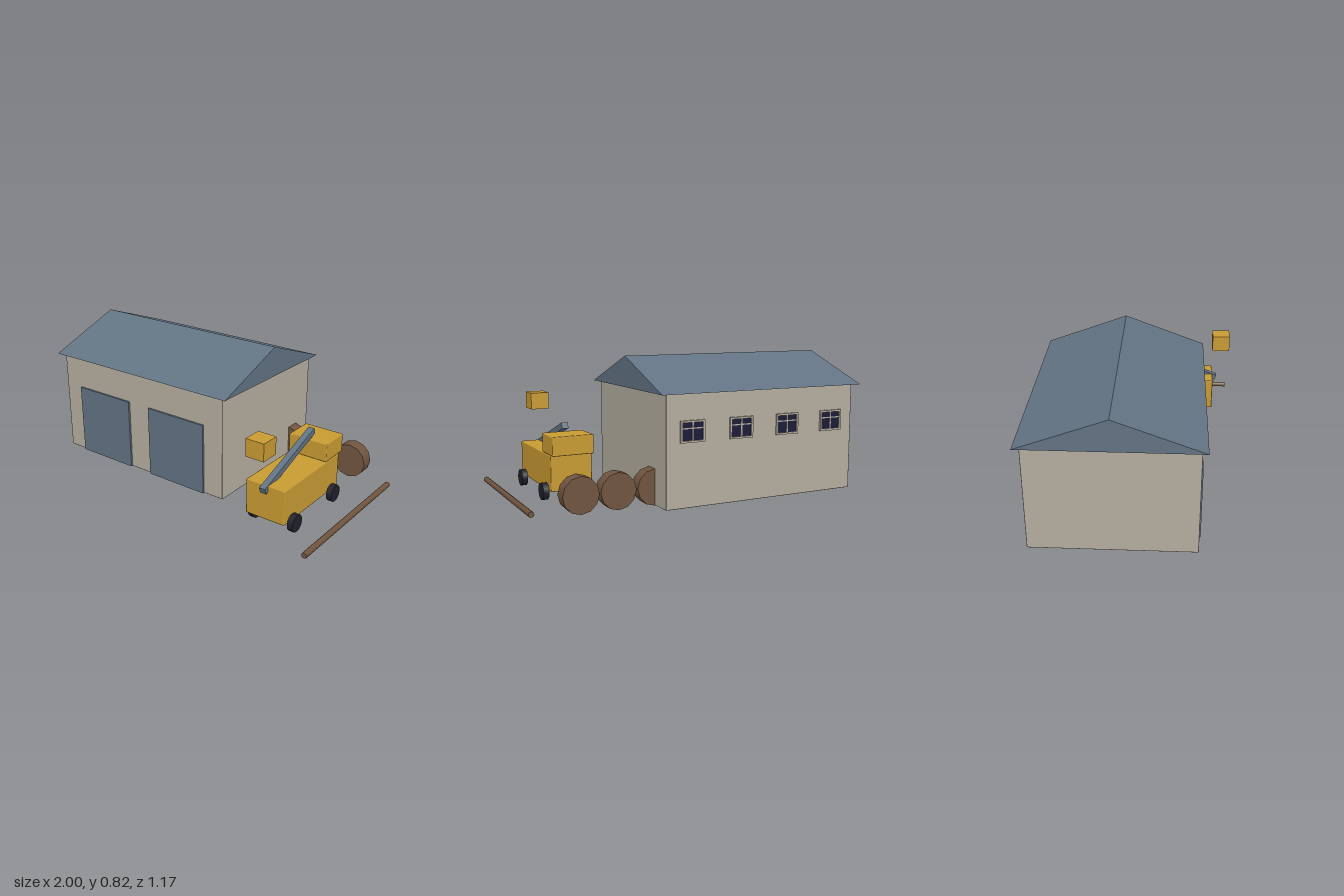
import * as THREE from 'three';
import { RoundedBoxGeometry } from 'three/addons/geometries/RoundedBoxGeometry.js';

const mat = (name, color) => {
  const m = new THREE.MeshStandardMaterial({ color });
  m.name = name;
  return m;
};

export function createModel() {
  const plaster = mat('plaster', 0xb4ad9f);
  const steel = mat('steelBlue', 0x627383);
  const yellow = mat('machineYellow', 0xc89b33);
  const rubber = mat('rubber', 0x20202a);
  const wood = mat('wood', 0x70553f);
  const glass = mat('darkGlass', 0x1b1b3a);

  const model = new THREE.Group();
  model.name = 'depotYard';
  const group = (name) => {
    const g = new THREE.Group();
    g.name = name;
    model.add(g);
    return g;
  };
  const add = (parent, name, geometry, material, x, y, z) => {
    const mesh = new THREE.Mesh(geometry, material);
    mesh.name = name;
    mesh.position.set(x, y, z);
    parent.add(mesh);
    return mesh;
  };
  // Box from its min and max corners, with an optional small bevel
  const box = (parent, name, material, [x0, y0, z0], [x1, y1, z1], bevel = 0) => {
    const s = [x1 - x0, y1 - y0, z1 - z0];
    const g = bevel ? new RoundedBoxGeometry(...s, 1, bevel) : new THREE.BoxGeometry(...s);
    return add(parent, name, g, material, (x0 + x1) / 2, (y0 + y1) / 2, (z0 + z1) / 2);
  };

  // Building: walls, gabled roof, two garage doors
  const building = group('building');
  box(building, 'walls', plaster, [-0.96, 0, -0.553], [0.292, 0.632, 0.361], 0.004);

  const gable = new THREE.Shape([
    new THREE.Vector2(-0.487, 0), new THREE.Vector2(0.487, 0), new THREE.Vector2(0, 0.181),
  ]);
  const roofGeometry = new THREE.ExtrudeGeometry(gable, { depth: 1.328, bevelEnabled: false });
  roofGeometry.rotateY(Math.PI / 2);
  add(building, 'roof', roofGeometry, steel, -1, 0.634, -0.097);

  for (const x of [-0.622, -0.049]) {
    box(building, 'garageDoor', steel, [x - 0.207, 0.001, 0.35], [x + 0.207, 0.437, 0.373]);
  }

  // Back windows: pane, outer frame and glazing bars
  const wy = 0.426, w = 0.075, h = 0.061, t = 0.011;
  for (let i = 0; i < 4; i++) {
    const x = -0.334 + (i - 1.5) * 0.311;
    const win = group('window');
    box(win, 'pane', glass, [x - w + t, wy - h + t, -0.558], [x + w - t, wy + h - t, -0.55]);
    for (const s of [-1, 1]) {
      const cx = x + s * (w - t / 2), cy = wy + s * (h - t / 2);
      box(win, 'frameSide', plaster, [cx - t / 2, wy - h, -0.565], [cx + t / 2, wy + h, -0.55]);
      box(win, 'frameRail', plaster, [x - w + t, cy - t / 2, -0.565], [x + w - t, cy + t / 2, -0.55]);
    }
    box(win, 'mullion', plaster, [x - 0.004, wy - h + t, -0.562], [x + 0.004, wy + h - t, -0.55]);
    box(win, 'transom', plaster, [x - w + t, wy + 0.014, -0.561], [x + w - t, wy + 0.021, -0.55]);
  }

  // Mobile crane
  const crane = group('crane');
  box(crane, 'chassis', yellow, [0.538, 0.059, -0.096], [0.785, 0.266, 0.475], 0.006);
  box(crane, 'cab', yellow, [0.538, 0.267, -0.131], [0.785, 0.378, 0.053], 0.006);
  const boom = add(crane, 'boom', new THREE.BoxGeometry(0.038, 0.036, 0.52), steel, 0.66, 0.329, 0.253);
  boom.rotation.x = 0.35;
  box(crane, 'hoistBlock', yellow, [0.604, 0.46, 0.467], [0.717, 0.562, 0.58]);
  const wheelGeometry = new THREE.CylinderGeometry(0.051, 0.051, 0.033, 12).rotateZ(Math.PI / 2);
  for (const x of [0.549, 0.803]) {
    for (const z of [-0.017, 0.396]) add(crane, 'wheel', wheelGeometry, rubber, x, 0.051, z);
  }

  // Row of upright log drums beside the wall
  const logs = group('logs');
  const logGeometry = new THREE.CylinderGeometry(0.105, 0.105, 0.08, 12).rotateX(Math.PI / 2);
  for (const x of [0.292, 0.51, 0.727]) add(logs, 'log', logGeometry, wood, x, 0.104, -0.379);

  // Long pole lying on the ground
  const poleGeometry = new THREE.CylinderGeometry(0.017, 0.017, 0.947, 8).rotateX(Math.PI / 2);
  add(model, 'pole', poleGeometry, wood, 0.983, 0.017, 0.117);

  return model;
}
